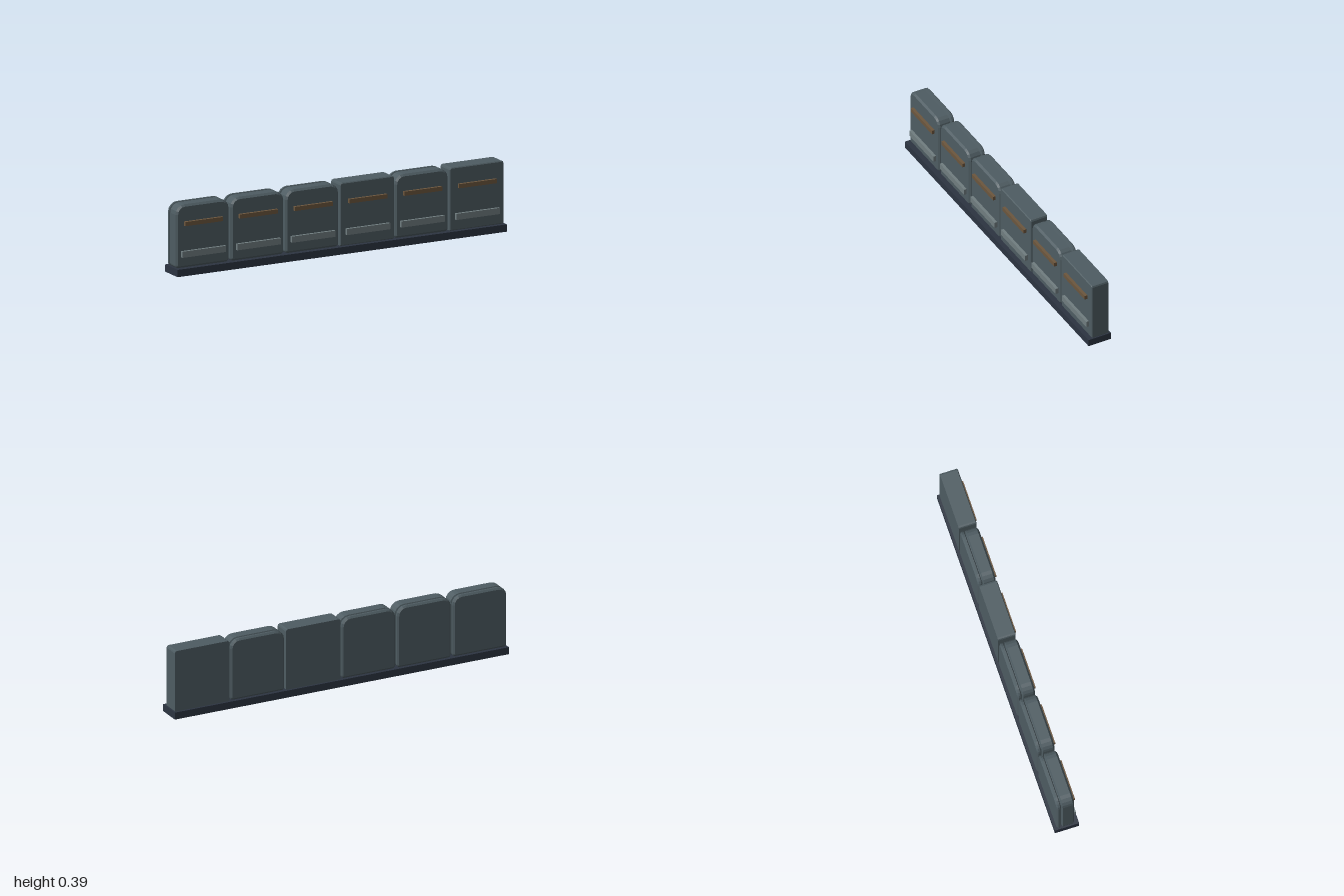
import * as THREE from 'three';

const mat = (name, color) => {
  const m = new THREE.MeshStandardMaterial({ color });
  m.name = name;
  return m;
};

// Upright outline with rounded corners, pulled in by an inset
function outline(w, y0, y1, rTop, rBottom, inset, steps) {
  const pts = [];
  const hw = w / 2 - inset, lo = y0 + inset, hi = y1 - inset;
  const corners = [[1, 1, rTop], [-1, 1, rTop], [-1, -1, rBottom], [1, -1, rBottom]];
  corners.forEach(([sx, sy, radius], c) => {
    const r = Math.max(radius - inset, 0.002);
    for (let i = 0; i <= steps; i++) {
      const a = (c + i / steps) * Math.PI / 2;
      pts.push([
        sx * (hw - r) + r * Math.cos(a),
        (sy > 0 ? hi - r : lo + r) + r * Math.sin(a),
      ]);
    }
  });
  return pts;
}

// Loft of outlines from back to front, sections given as [z, inset]
function loft(sections, w, rTop, rBottom, steps) {
  const loops = sections.map(([z, inset]) =>
    outline(w, 0.04, 0.386, rTop, rBottom, inset, steps).map(([x, y]) => [x, y, z]));
  const pos = [];
  const tri = (a, b, c) => pos.push(...a, ...b, ...c);
  const n = loops[0].length;
  for (let k = 0; k < loops.length - 1; k++) {
    const a = loops[k], b = loops[k + 1];
    for (let i = 0; i < n; i++) {
      const j = (i + 1) % n;
      tri(a[i], a[j], b[j]);
      tri(a[i], b[j], b[i]);
    }
  }
  const back = loops[0], front = loops[loops.length - 1];
  for (let i = 1; i < n - 1; i++) {
    tri(back[0], back[i + 1], back[i]);
    tri(front[0], front[i], front[i + 1]);
  }
  const g = new THREE.BufferGeometry();
  g.setAttribute('position', new THREE.Float32BufferAttribute(pos, 3));
  g.computeVertexNormals();
  return g;
}

export function createModel() {
  const group = new THREE.Group();
  const slate = mat('slate panel', 0x4e5c62);
  const navy = mat('dark base', 0x2c3441);
  const bronze = mat('bronze trim', 0x6c563e);
  const grey = mat('pale grey strip', 0x707d80);

  const add = (parent, name, geometry, material, x, y, z) => {
    const m = new THREE.Mesh(geometry, material);
    m.name = name;
    m.position.set(x, y, z);
    parent.add(m);
  };

  // Long plinth
  add(group, 'base', new THREE.BoxGeometry(2, 0.04, 0.136), navy, 0, 0.02, 0);

  // Rounded panel: two bevelled slabs with a groove between them
  const rounded = loft([
    [-0.055, 0.01], [-0.047, 0], [-0.036, 0], [-0.031, 0.014],
    [-0.027, 0.014], [-0.022, 0], [0.035, 0], [0.045, 0.011],
  ], 0.322, 0.052, 0.016, 4);
  // Square panel: slight corner rounding and a fine front bevel
  const square = loft([[-0.055, 0], [0.041, 0], [0.045, 0.005]], 0.328, 0.012, 0.003, 2);
  const handle = new THREE.BoxGeometry(0.23, 0.023, 0.018);
  const strip = new THREE.BoxGeometry(0.264, 0.034, 0.018);

  // Row of six panels with front trim
  const squareSlots = [3, 5];
  for (let i = 0; i < 6; i++) {
    const unit = new THREE.Group();
    unit.name = 'panelUnit' + (i + 1);
    unit.position.x = (i - 2.5) * 0.3327 - 0.002;
    add(unit, 'panel', squareSlots.includes(i) ? square : rounded, slate, 0, 0, 0);
    add(unit, 'handleBar', handle, bronze, 0, 0.2835, 0.052);
    add(unit, 'lowerStrip', strip, grey, 0, 0.117, 0.052);
    group.add(unit);
  }
  return group;
}
